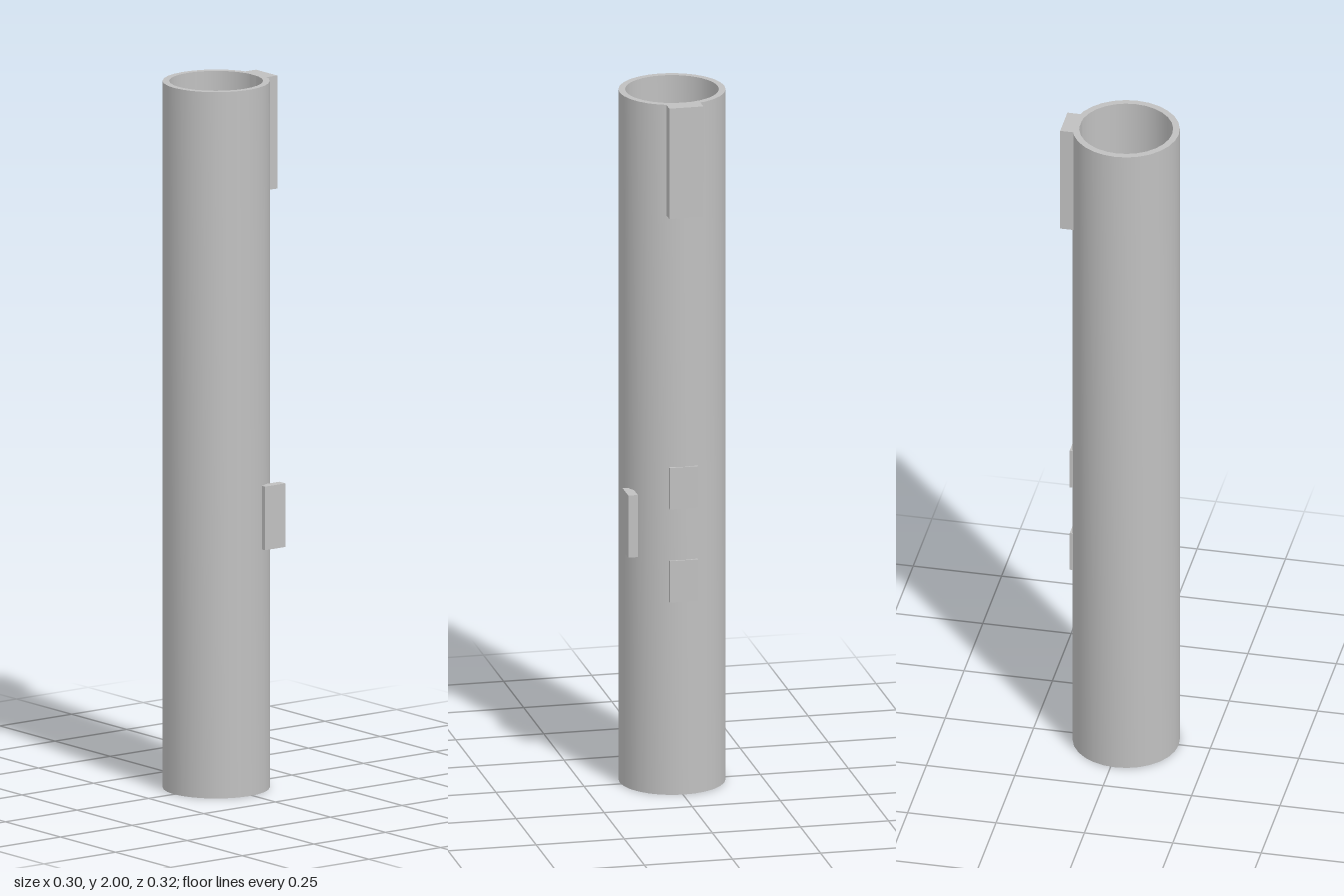
import * as THREE from 'three';
import { toCreasedNormals } from 'three/addons/utils/BufferGeometryUtils.js';

export function createModel() {
  const model = new THREE.Group();
  model.name = 'tubeWithTabs';
  const grey = new THREE.MeshStandardMaterial({ color: 0xc0c0c0 });
  grey.name = 'grey';

  // Open hollow tube: a rectangular wall section turned around the axis
  const outer = 0.1485, inner = 0.13;
  const wall = [[outer, 0], [outer, 2], [inner, 2], [inner, 0], [outer, 0]]
    .map(([r, y]) => new THREE.Vector2(r, y));
  const tube = new THREE.Mesh(toCreasedNormals(new THREE.LatheGeometry(wall, 28), 0.6), grey);
  tube.name = 'tube';
  tube.position.set(-0.0025, 0, 0.0125);
  model.add(tube);

  // Box given by its x, y and z limits
  function block(name, [x0, x1], [y0, y1], [z0, z1]) {
    const mesh = new THREE.Mesh(new THREE.BoxGeometry(x1 - x0, y1 - y0, z1 - z0), grey);
    mesh.name = name;
    mesh.position.set((x0 + x1) / 2, (y0 + y1) / 2, (z0 + z1) / 2);
    model.add(mesh);
  }

  // Tall block at the top of the back
  block('topBlock', [-0.051, 0.0455], [1.68, 2], [-0.164, -0.116]);

  // Offset tab on the left side
  block('sideTab', [0.123, 0.15], [0.69, 0.87], [-0.1125, -0.041]);

  // Two shallow pads on the back
  for (const [name, y] of [['upperPad', 0.83], ['lowerPad', 0.56]]) {
    block(name, [-0.042, 0.038], [y, y + 0.12], [-0.139, -0.122]);
  }
  return model;
}
